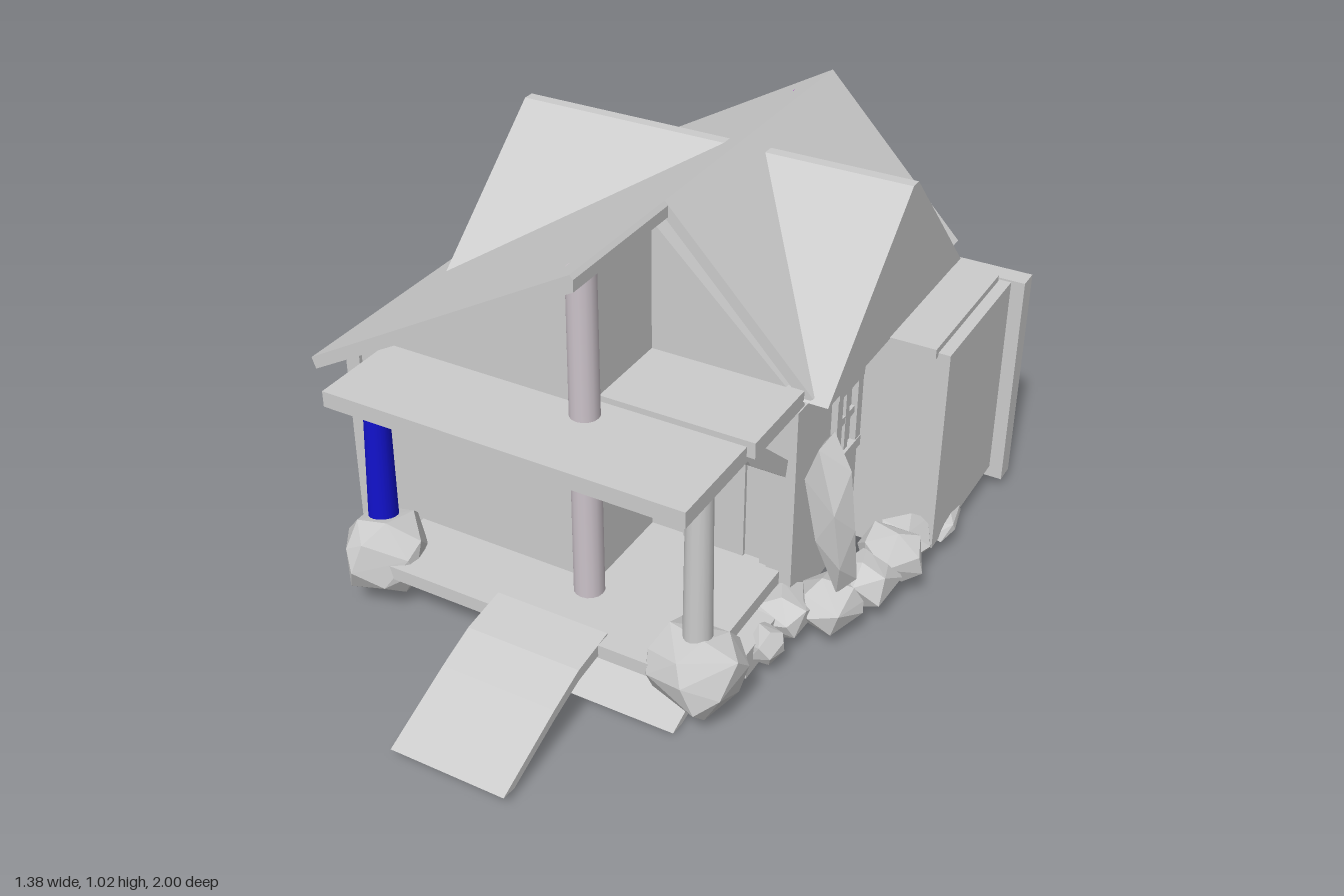
import * as THREE from 'three';
import { ConvexGeometry } from 'three/addons/geometries/ConvexGeometry.js';

const grey = new THREE.MeshStandardMaterial({ color: 0xcccccc, flatShading: true });
const tint = (color) => new THREE.MeshStandardMaterial({ color });

export function createModel() {
  const model = new THREE.Group();

  const add = (name, geo, mat = grey, parent = model) => {
    const m = new THREE.Mesh(geo, mat);
    m.name = name;
    parent.add(m);
    return m;
  };
  // Box given by its limits on each axis
  const box = (name, x0, x1, y0, y1, z0, z1, parent = model) => {
    const m = add(name, new THREE.BoxGeometry(x1 - x0, y1 - y0, z1 - z0), grey, parent);
    m.position.set((x0 + x1) / 2, (y0 + y1) / 2, (z0 + z1) / 2);
    return m;
  };
  const extrude = (pts, depth) => new THREE.ExtrudeGeometry(
    new THREE.Shape(pts.map(([a, b]) => new THREE.Vector2(a, b))), { depth, bevelEnabled: false });
  // Profile in x,y pulled along z
  const prismZ = (name, pts, z0, z1) => add(name, extrude(pts, z1 - z0).translate(0, 0, z0));
  // Profile in z,y pulled along x
  const prismX = (name, pts, x0, x1) => add(name,
    extrude(pts.map(([z, y]) => [-z, y]), x1 - x0).rotateY(Math.PI / 2).translate(x0, 0, 0));

  // Foundation and main walls
  box('foundation', -0.55, 0.44, 0.02, 0.06, -0.62, 0.43);
  box('annexFoundation', 0.44, 0.62, 0.02, 0.06, -0.62, -0.19);
  prismZ('leftWing', [[-0.59, 0.03], [0.07, 0.03], [0.07, 0.968], [-0.59, 0.592]], -0.61, 0.43);
  prismZ('rightWing', [[0.07, 0.03], [0.44, 0.03], [0.44, 0.615], [0.07, 0.968]], -0.61, 0.17);
  for (const z of [-0.6, 0.42]) box('cornerPost', -0.6, -0.56, 0.03, 0.59, z - 0.02, z + 0.02);
  box('cornerPost', 0.385, 0.45, 0.03, 0.6, 0.13, 0.19);

  // Main roof, its right slope stopping short at the porch
  prismZ('leftRoof', [[-0.605, 0.62], [-0.595, 0.592], [0.108, 0.982], [0.108, 1.01], [0.1, 1.02]], -0.7, 0.55);
  prismZ('rightRoof', [[0.1, 1.02], [0.1, 0.98], [0.45, 0.612], [0.472, 0.63]], -0.7, 0.165);

  // Cross gables on both sides
  prismX('rightGable', [[0.17, 0.62], [-0.245, 0.98], [-0.275, 0.98], [-0.62, 0.625]], 0.1, 0.51);
  prismX('leftGable', [[0.135, 0.655], [-0.245, 0.98], [-0.275, 0.98], [-0.59, 0.655]], -0.53, 0.1);

  // Round ridge pillars
  const pillar = (name, x, z, y0, y1, rTop, rBottom, mat) => {
    const m = add(name, new THREE.CylinderGeometry(rTop, rBottom, y1 - y0, 16), mat);
    m.position.set(x, (y0 + y1) / 2, z);
    return m;
  };
  pillar('frontRidgePillar', 0.07, 0.46, 0, 0.985, 0.034, 0.037, tint(0xcbc2c9));
  pillar('backRidgePillar', 0.07, -0.605, 0, 0.985, 0.033, 0.036, tint(0x9a2fb0));

  // Porch deck, steps and ramp
  box('porchDeck', -0.42, 0.42, 0.12, 0.155, 0.17, 0.62);
  box('porchBase', -0.36, 0.4, 0.03, 0.12, 0.17, 0.45);
  box('sideStep', 0.4, 0.46, 0.03, 0.1, 0.28, 0.43);
  prismX('ramp', [[0.58, 0.16], [0.7, 0.145], [0.8, 0.11], [1, 0.028], [0.96, 0.022],
    [0.8, 0.085], [0.7, 0.117], [0.58, 0.13]], -0.1, 0.19);
  prismX('lowerBoard', [[0.45, 0.06], [0.5, 0.055], [0.64, 0.005], [0.6, 0.001], [0.45, 0.035]], 0.04, 0.39);

  // Porch canopy and posts
  box('canopy', -0.48, 0.43, 0.59, 0.63, 0.39, 0.665);
  box('canopyBack', 0.07, 0.45, 0.605, 0.645, 0.16, 0.4);
  pillar('leftPost', -0.452, 0.53, 0.17, 0.59, 0.029, 0.037, tint(0x1212cc)).rotation.z = -0.03;
  pillar('rightPost', 0.4, 0.55, 0.17, 0.59, 0.03, 0.034, tint(0xcccccc));
  prismX('canopyBrace', [[0.4, 0.6], [0.38, 0.57], [0.2, 0.43], [0.19, 0.47], [0.34, 0.6]], 0.4, 0.43);

  // Door with its surround
  box('door', 0.16, 0.32, 0.155, 0.46, 0.16, 0.18);
  box('doorHeader', 0.09, 0.39, 0.55, 0.58, 0.16, 0.195);
  box('doorJamb', 0.365, 0.39, 0.155, 0.56, 0.16, 0.185);

  // Right annex
  box('rightAnnex', 0.4, 0.655, 0.06, 0.61, -0.6, -0.185);
  box('rightAnnexRoof', 0.4, 0.625, 0.6, 0.626, -0.58, -0.17);
  box('rightAnnexBackWall', 0.2, 0.69, 0.03, 0.615, -0.645, -0.59);

  // Back annex with framed wall
  box('backAnnex', -0.375, 0.175, 0.03, 0.61, -0.86, -0.6);
  prismX('backAnnexRoof', [[-0.6, 0.59], [-0.6, 0.625], [-0.885, 0.645], [-0.885, 0.605]], -0.4, 0.2);
  for (const x of [-0.375, 0.14]) box('backAnnexPost', x, x + 0.04, 0.03, 0.61, -0.875, -0.84);
  box('backAnnexBeam', -0.375, 0.18, 0.57, 0.605, -0.872, -0.85);
  box('annexShutter', -0.385, -0.365, 0.28, 0.5, -0.83, -0.8);

  // Windows: frame and glazing bars, facing +z before turning
  const window = (w, h, x, y, z, turn) => {
    const g = new THREE.Group();
    g.name = 'window';
    const t = 0.014;
    for (const s of [-1, 1]) {
      box('windowJamb', s * w / 2 - t, s * w / 2 + t, -h / 2, h / 2, -0.01, 0.016, g);
      box('windowRail', -w / 2 - t, w / 2 + t, s * h / 2 - t, s * h / 2 + t, -0.01, 0.018, g);
    }
    box('windowMullion', -0.01, 0.01, -h / 2, h / 2, -0.01, 0.01, g);
    box('windowBar', -w / 2, w / 2, -0.01, 0.01, -0.01, 0.009, g);
    g.position.set(x, y, z);
    g.rotation.y = turn;
    model.add(g);
  };
  window(0.115, 0.2, 0.44, 0.43, -0.09, Math.PI / 2);
  window(0.23, 0.2, -0.59, 0.43, 0.19, -Math.PI / 2);
  window(0.24, 0.2, 0.35, 0.43, -0.645, Math.PI);

  // Faceted rocks: hull of a few seeded points on a blocky ellipsoid
  let seed = 7;
  const rnd = () => (seed = (seed * 16807) % 2147483647) / 2147483647;
  const rock = (name, x, y, z, rx, ry, rz, lean = 0, n = 15) => {
    const pts = [];
    const spin = rnd() * 6;
    for (let i = 0; i < n; i++) {
      const v = 1 - 2 * i / (n - 1), a = i * 2.4 + spin + rnd() * 0.8;
      const r = Math.sqrt(1.12 - Math.abs(v) ** 3), k = 0.9 + rnd() * 0.16;
      pts.push(new THREE.Vector3(Math.cos(a) * r * rx * k + lean * v, v * ry, Math.sin(a) * r * rz * k));
    }
    add(name, new ConvexGeometry(pts)).position.set(x, y, z);
  };
  rock('postBoulder', -0.44, 0.135, 0.55, 0.1, 0.1, 0.11, 0, 24);
  rock('postBoulder', 0.395, 0.13, 0.55, 0.11, 0.1, 0.11, 0, 24);

  // Tall leaning slabs against the walls
  rock('standingStone', 0.53, 0.34, 0.15, 0.055, 0.21, 0.06, -0.03);
  rock('standingStone', -0.6, 0.27, -0.47, 0.035, 0.19, 0.05, 0.015);
  rock('standingStone', -0.595, 0.3, 0.1, 0.03, 0.19, 0.035, 0.015);

  // Rocks along the foot of the walls: x, y, z, rx, ry, rz
  const footRocks = [
    [0.54, 0.09, 0.16, 0.08, 0.055, 0.08], [0.58, 0.09, 0.03, 0.08, 0.06, 0.08],
    [0.6, 0.12, -0.05, 0.08, 0.07, 0.06], [0.6, 0.1, -0.14, 0.065, 0.06, 0.07],
    [0.64, 0.065, -0.3, 0.04, 0.025, 0.085], [0.46, 0.08, 0.22, 0.07, 0.05, 0.08],
    [0.47, 0.08, 0.35, 0.04, 0.04, 0.06],
    [-0.61, 0.1, 0.08, 0.06, 0.06, 0.09], [-0.62, 0.1, -0.07, 0.07, 0.065, 0.09],
    [-0.61, 0.1, -0.2, 0.06, 0.06, 0.07], [-0.62, 0.1, -0.33, 0.07, 0.065, 0.08],
    [-0.59, 0.08, -0.5, 0.045, 0.05, 0.09], [-0.57, 0.08, 0.2, 0.05, 0.05, 0.06],
    [-0.44, 0.09, -0.76, 0.07, 0.06, 0.09],
    [-0.22, 0.085, -0.9, 0.11, 0.08, 0.09], [0.01, 0.1, -0.91, 0.13, 0.08, 0.09],
    [0.1, 0.09, -0.9, 0.07, 0.07, 0.08], [0.22, 0.1, -0.76, 0.065, 0.065, 0.11]];
  for (const r of footRocks) rock('footRock', ...r);

  return model;
}
